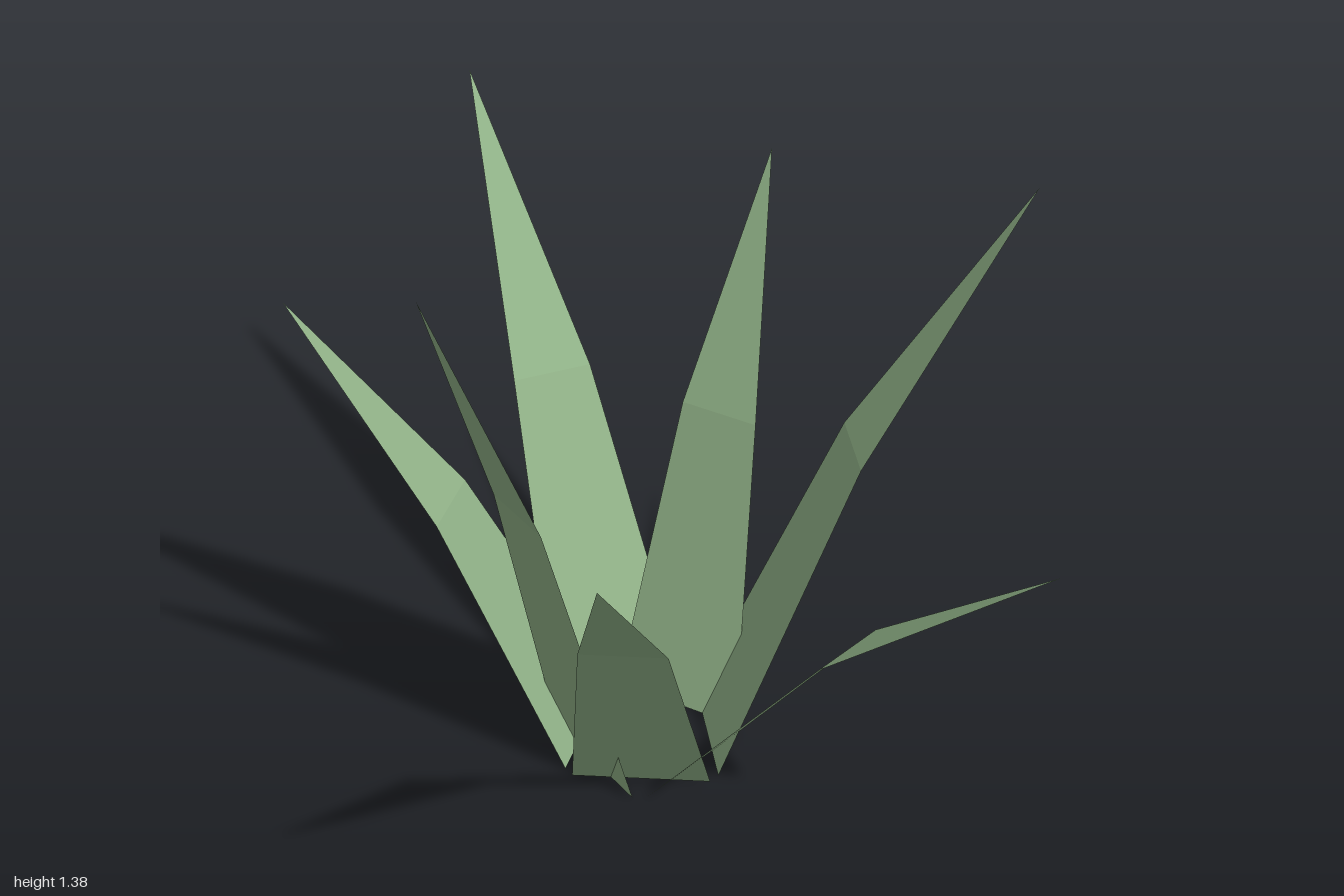
import * as THREE from 'three';

const leafGreen = new THREE.MeshStandardMaterial({ color: 0x8fb086, side: THREE.DoubleSide });
leafGreen.name = 'leaf green';

// One flat blade pointing along +z: a tapering lower panel, then a pointed upper panel
function bladeGeometry(tipRadius, height) {
  const baseRadius = 0.142, baseHalf = 0.156, midHalf = 0.093;
  const midRadius = baseRadius + (tipRadius - baseRadius) * 0.455;
  const midY = height * 0.553;
  const a = [-baseHalf, 0, baseRadius], b = [baseHalf, 0, baseRadius];
  const c = [midHalf, midY, midRadius], d = [-midHalf, midY, midRadius];
  const tip = [0, height, tipRadius];
  const geometry = new THREE.BufferGeometry();
  const corners = [a, b, c, a, c, d, d, c, tip].flat();
  geometry.setAttribute('position', new THREE.Float32BufferAttribute(corners, 3));
  geometry.computeVertexNormals(); // unshared corners keep each panel flat
  return geometry;
}

export function createModel() {
  const plant = new THREE.Group();
  plant.name = 'spikyPlant';

  // Reach and height of each blade, going round from the front towards +x
  const blades = [
    [1.11, 1.27], [1.105, 1.03], [0.835, 1.385], [0.56, 1.27],
    [1.115, 1.16], [0.82, 1.03], [0.545, 1.385],
  ];
  blades.forEach(([reach, height], i) => {
    const leaf = new THREE.Mesh(bladeGeometry(reach, height), leafGreen);
    leaf.name = `leaf${i + 1}`;
    leaf.rotation.y = THREE.MathUtils.degToRad(10.2) + (i / blades.length) * Math.PI * 2;
    leaf.position.set(-0.079, 0, -0.092); // centre of the ring of bases
    plant.add(leaf);
  });
  return plant;
}
